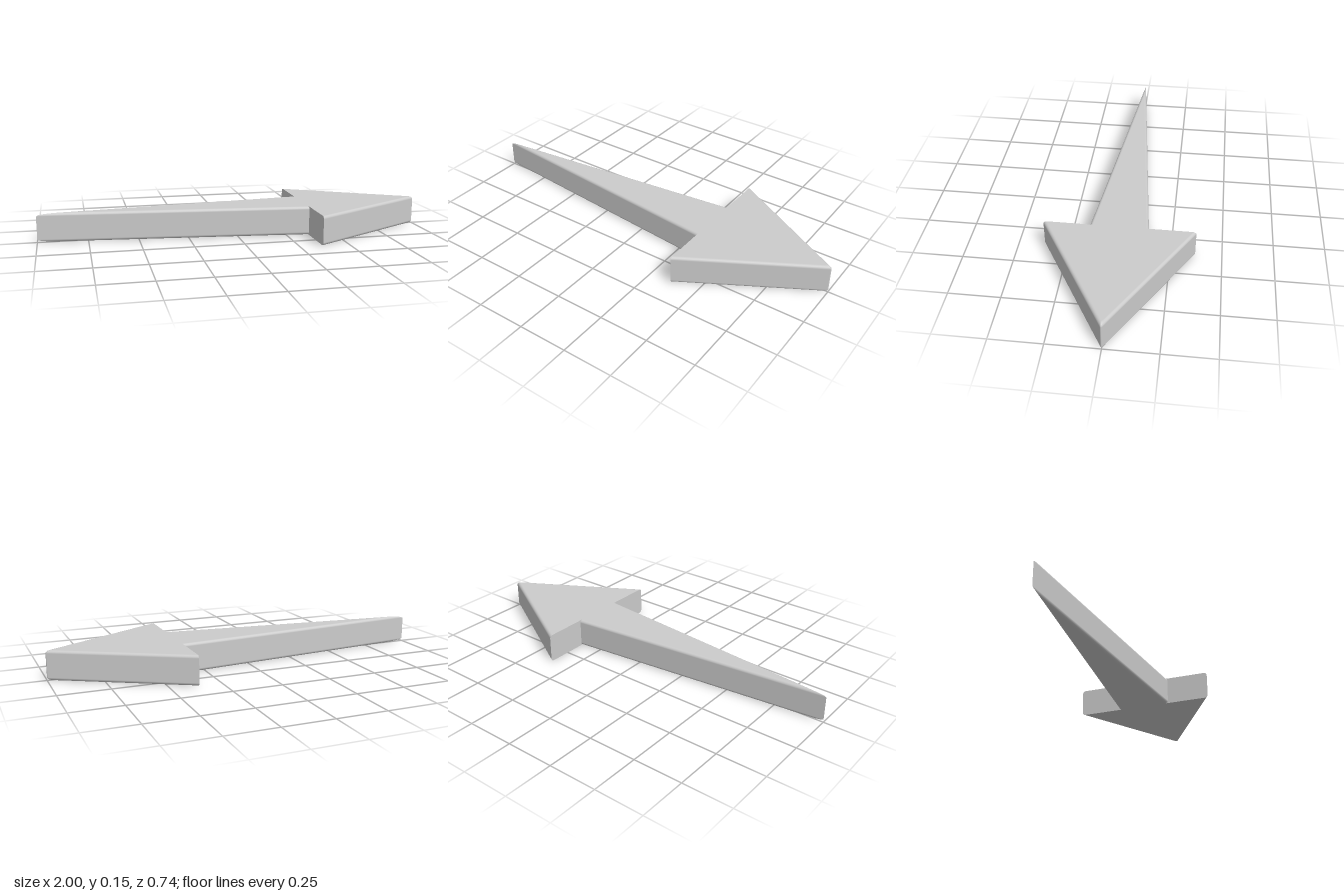
import * as THREE from 'three';

const HEIGHT = 0.148, BEVEL = 0.015;   // thickness and rounding of the long edges
const BACK = 0.365;                    // x of the flat back of the head
const NECK = 0.143, BARB = 0.37;       // half widths of shaft and head there
const NOSE_R = 0.006, STEPS = 4;
const shaft = Math.atan2(NECK, BACK + 1);
const head = Math.atan2(BARB, 1 + NOSE_R - BACK);
const noseAngles = Array.from({ length: STEPS + 1 }, (_, i) =>
  (Math.PI / 2 - head) * (1 - 2 * i / STEPS));

// Arrow outline in (x, z) with the slanted edges moved inwards by d
function outline(d) {
  const neck = NECK - d / Math.cos(shaft), barb = BARB - d / Math.cos(head);
  const cx = 1 - NOSE_R / Math.sin(head) + NOSE_R - d / Math.sin(head);
  return [
    [-1 + d / Math.sin(shaft), 0], [BACK, neck], [BACK, barb],
    ...noseAngles.map(t => [cx + NOSE_R * Math.cos(t), NOSE_R * Math.sin(t)]),
    [BACK, -barb], [BACK, -neck],
  ];
}

// Start and end direction of the wall normal on each outline edge
function wallAngles() {
  const s = Math.PI / 2 + shaft, h = Math.PI / 2 - head;
  const nose = noseAngles.slice(1).map((t, i) => [noseAngles[i], t]);
  return [[s, s], [Math.PI, Math.PI, true], [h, h], ...nose,
    [-h, -h], [Math.PI, Math.PI, true], [-s, -s]];
}

function arrowGeometry() {
  const pos = [], nor = [];
  const put = (p, n) => { pos.push(...p); nor.push(...n); };

  // Rings from bottom to top: quarter-round, straight wall, quarter-round
  const rings = [];
  for (const top of [false, true]) {
    for (let i = 0; i <= STEPS; i++) {
      const tilt = (top ? i : i - STEPS) / STEPS * Math.PI / 2;
      const y = (top ? HEIGHT - BEVEL : BEVEL) + BEVEL * Math.sin(tilt);
      rings.push({ y, tilt, pts: outline(BEVEL * (1 - Math.cos(tilt))) });
    }
  }

  // Walls
  wallAngles().forEach(([a0, a1, flat], j) => {
    const corner = (ring, end) => {
      const p = ring.pts[(j + end) % ring.pts.length], a = end ? a1 : a0;
      const t = flat ? 0 : ring.tilt;
      put([p[0], ring.y, p[1]],
        [Math.cos(a) * Math.cos(t), Math.sin(t), Math.sin(a) * Math.cos(t)]);
    };
    for (let k = 0; k < rings.length - 1; k++) {
      const lo = rings[k], hi = rings[k + 1];
      corner(lo, 0); corner(lo, 1); corner(hi, 1);
      corner(lo, 0); corner(hi, 1); corner(hi, 0);
    }
  });

  // Flat top and bottom
  for (const [ring, up] of [[rings[0], -1], [rings[rings.length - 1], 1]]) {
    const pts = ring.pts.map(p => new THREE.Vector2(...p));
    for (const tri of THREE.ShapeUtils.triangulateShape(pts, [])) {
      const t = tri.map(i => pts[i]);
      if (THREE.ShapeUtils.area(t) * up > 0) t.reverse();
      t.forEach(p => put([p.x, ring.y, p.y], [0, up, 0]));
    }
  }

  const geo = new THREE.BufferGeometry();
  geo.setAttribute('position', new THREE.Float32BufferAttribute(pos, 3));
  geo.setAttribute('normal', new THREE.Float32BufferAttribute(nor, 3));
  return geo;
}

export function createModel() {
  const group = new THREE.Group();
  group.name = 'arrowPointer';
  const arrow = new THREE.Mesh(arrowGeometry(),
    new THREE.MeshStandardMaterial({ color: 0xcccccc }));
  arrow.name = 'arrow';
  group.add(arrow);
  return group;
}
